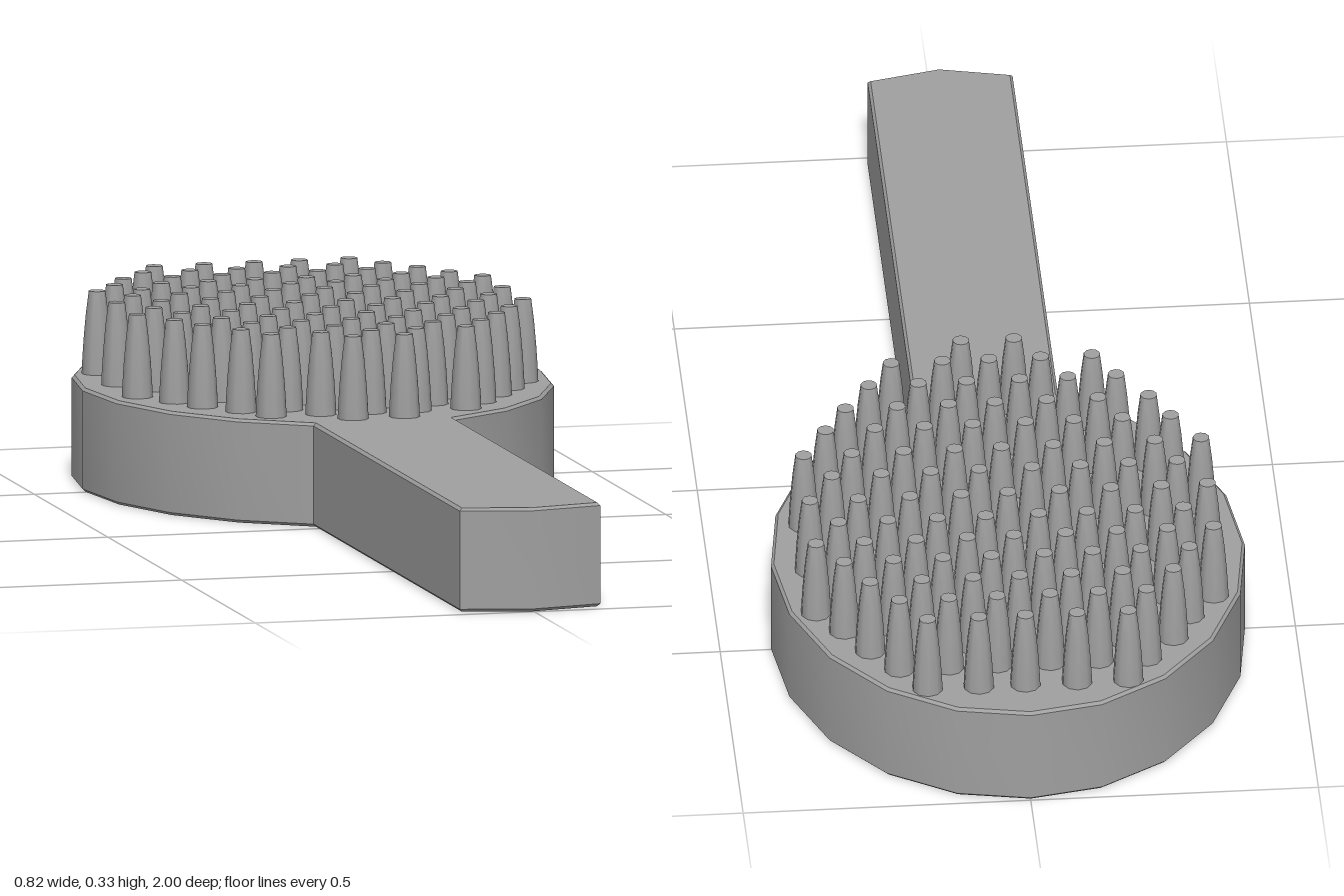
import * as THREE from 'three';
import { toCreasedNormals } from 'three/addons/utils/BufferGeometryUtils.js';

const TOP = 0.182;
const BEVEL = 0.005;

// Oval head and straight handle as one softly bevelled slab
function bodyGeometry() {
  // right half of the outline as [x, z], from the head's crown to the handle's end
  const half = [
    [0, -1], [0.126, -0.976], [0.242, -0.905], [0.333, -0.795], [0.392, -0.655],
    [0.412, -0.505], [0.392, -0.35], [0.333, -0.21], [0.242, -0.098], [0.126, -0.02],
    [0.126, 0.972], [0, 1],
  ];
  const mirrored = half.slice(1, -1).reverse().map(([x, z]) => [-x, z]);
  const outline = [...half, ...mirrored].map(([x, z]) => new THREE.Vector2(x, -z));
  const geometry = new THREE.ExtrudeGeometry(new THREE.Shape(outline), {
    depth: TOP - 2 * BEVEL,
    bevelSize: BEVEL,
    bevelOffset: -BEVEL,
    bevelThickness: BEVEL,
    bevelSegments: 1,
  });
  geometry.rotateX(-Math.PI / 2).translate(0, BEVEL, 0);
  return toCreasedNormals(geometry, 0.52);
}

// Tapered, slightly bulging bristle with a flat tip
function bristleGeometry() {
  const profile = [
    [0.027, -0.004], [0.026, 0.02], [0.0235, 0.06], [0.0195, 0.105], [0.0145, 0.145], [0, 0.145],
  ].map(([r, y]) => new THREE.Vector2(r, y));
  return toCreasedNormals(new THREE.LatheGeometry(profile, 10), 0.9);
}

export function createModel() {
  const model = new THREE.Group();
  model.name = 'hairbrush';
  const material = new THREE.MeshStandardMaterial({ color: 0x9f9f9f });

  const body = new THREE.Mesh(bodyGeometry(), material);
  body.name = 'headAndHandle';
  model.add(body);

  // Staggered rows of bristles, from the crown towards the handle: [z, count]
  const bristles = new THREE.Group();
  bristles.name = 'bristles';
  const geometry = bristleGeometry();
  const rows = [
    [-0.908, 5], [-0.845, 6], [-0.785, 7], [-0.72, 8], [-0.66, 9], [-0.597, 8], [-0.527, 9],
    [-0.453, 8], [-0.387, 9], [-0.313, 8], [-0.248, 7], [-0.18, 6], [-0.115, 5], [-0.055, 2],
  ];
  // slightly uneven columns shared by the odd and the even rows
  const oddColumns = [-0.345, -0.265, -0.177, -0.088, 0.002, 0.083, 0.172, 0.262, 0.346];
  const evenColumns = [-0.298, -0.214, -0.13, -0.046, 0.046, 0.13, 0.216, 0.302];
  for (const [z, count] of rows) {
    const columns = count % 2 ? oddColumns : evenColumns;
    const skip = (columns.length - count) / 2;
    for (const x of columns.slice(skip, skip + count)) {
      const bristle = new THREE.Mesh(geometry, material);
      bristle.name = 'bristle';
      bristle.position.set(x, TOP, z);
      bristles.add(bristle);
    }
  }
  model.add(bristles);

  return model;
}
